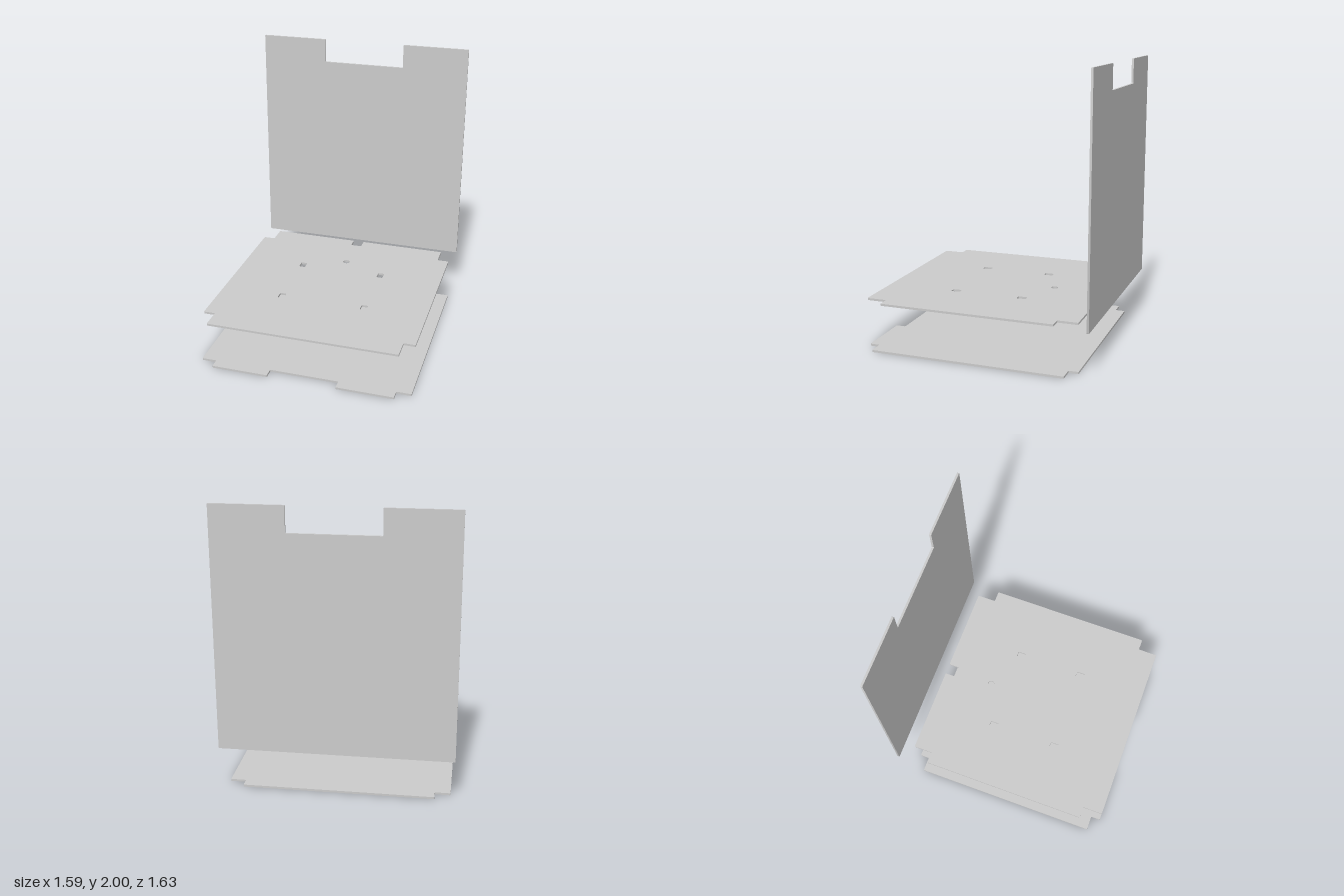
import * as THREE from 'three';
import { toCreasedNormals } from 'three/addons/utils/BufferGeometryUtils.js';

const T = 0.015; // sheet thickness
const material = new THREE.MeshStandardMaterial({ color: 0xcccccc });

// Closed outline with every corner rounded by radius r
function rounded(points, r, target = new THREE.Shape()) {
  const v = points.map(([x, y]) => new THREE.Vector2(x, y));
  v.forEach((p, i) => {
    const prev = v[(i + v.length - 1) % v.length];
    const next = v[(i + 1) % v.length];
    const a = p.clone().add(prev.clone().sub(p).setLength(r));
    const b = p.clone().add(next.clone().sub(p).setLength(r));
    if (i === 0) target.moveTo(a.x, a.y);
    else target.lineTo(a.x, a.y);
    target.quadraticCurveTo(p.x, p.y, b.x, b.y);
  });
  target.closePath();
  return target;
}

// Rectangular slot with rounded corners, centred on (x, y)
function slot(x, y, w, h) {
  const a = w / 2, b = h / 2;
  return rounded([[x - a, y - b], [x - a, y + b], [x + a, y + b], [x + a, y - b]], 0.01, new THREE.Path());
}

function sheet(name, shape) {
  const geometry = new THREE.ExtrudeGeometry(shape, { depth: T, bevelEnabled: false, curveSegments: 8 });
  const mesh = new THREE.Mesh(toCreasedNormals(geometry, 0.6), material);
  mesh.name = name;
  return mesh;
}

// Right half of an outline, listed front to back, mirrored into a full loop
function mirrored(half) {
  return [...half, ...half.map(([x, y]) => [-x, y]).reverse()];
}

export function createModel() {
  const group = new THREE.Group();
  group.name = 'panelSet';
  const W = 0.767, FRONT = -0.815, BACK = 0.715; // plate outline, with y = -z

  // Bottom plate: notched corners and a shallow recess in the front edge
  const bottom = sheet('bottomPlate', rounded(mirrored([
    [0.25, FRONT + 0.07], [0.25, FRONT], [0.66, FRONT], [0.66, -0.745], [W, -0.745],
    [W, 0.646], [0.66, 0.646], [0.66, BACK],
  ]), 0.007));
  bottom.rotation.x = -Math.PI / 2;
  group.add(bottom);

  // Middle plate: deeper corner notches, cable notch at the back, slots and a round hole
  const middleShape = rounded(mirrored([
    [0.683, FRONT], [0.683, -0.67], [W, -0.67], [W, 0.572],
    [0.683, 0.572], [0.683, BACK], [0.041, BACK], [0.041, 0.635],
  ]), 0.007);
  for (const x of [-0.31, 0.31]) {
    for (const y of [0.2, -0.298]) middleShape.holes.push(slot(x, y, 0.046, 0.066));
  }
  middleShape.holes.push(new THREE.Path().absarc(0, 0.343, 0.026, 0, Math.PI * 2, true));
  const middle = sheet('middlePlate', middleShape);
  middle.rotation.x = -Math.PI / 2;
  middle.position.y = 0.345;
  group.add(middle);

  // Upright back panel with a wide notch in its top edge
  const back = sheet('backPanel', rounded(mirrored([
    [0.795, 0.333], [0.795, 2], [0.305, 2], [0.305, 1.825],
  ]), 0.006));
  back.position.z = -0.815;
  group.add(back);

  return group;
}
